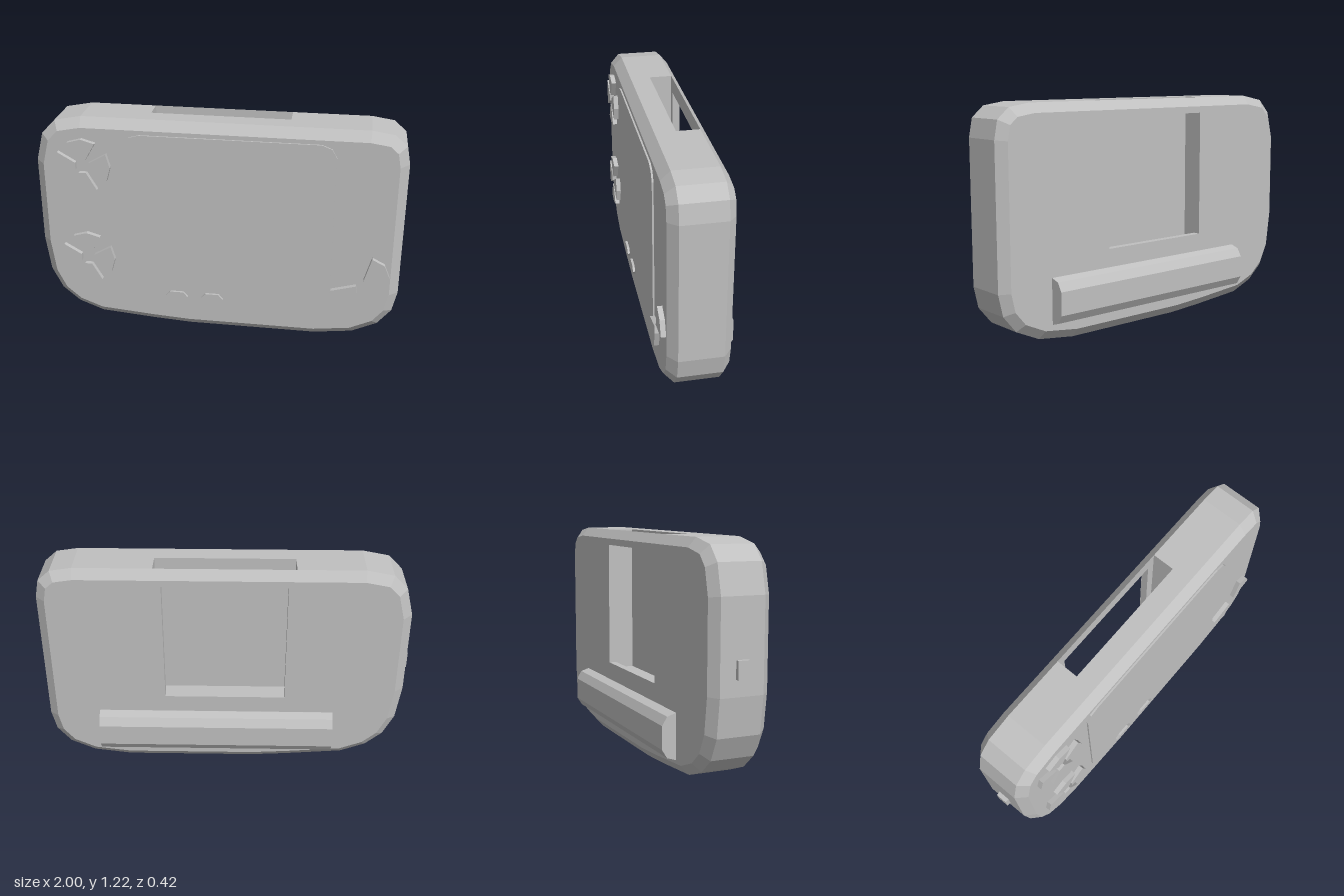
import * as THREE from 'three';

// Rim of the case, counter-clockwise from the front; the first edge is the flat top
const RIM = [
  [0.797, 1.215], [-0.722, 1.215], [-0.866, 1.187], [-0.94, 1.11], [-0.978, 0.957], [-0.978, 0.487],
  [-0.952, 0.29], [-0.893, 0.17], [-0.80, 0.09], [-0.663, 0.037], [-0.353, 0.012], [-0.15, 0],
  [0.556, 0], [0.765, 0.027], [0.90, 0.09], [0.973, 0.18], [0.998, 0.294], [0.998, 1.043],
  [0.979, 1.14], [0.914, 1.197],
];
const FRONT = 0.186, SIDE_FRONT = 0.138, SIDE_BACK = -0.092, BACK = -0.133;
// Slot cavity and the window that opens it to the back
const SLOT = { x0: -0.365, x1: 0.38, y0: 0.40, y1: 1.215, z: 0.03 };
const WINDOW = [[-0.323, 0.44], [0.337, 0.44], [0.337, 1.13], [-0.323, 1.13]];

const toShape = (pts) => new THREE.Shape(pts.map(([x, y]) => new THREE.Vector2(x, y)));
const toPath = (pts) => new THREE.Path(pts.map(([x, y]) => new THREE.Vector2(x, y)));
const mirrorX = (pts) => pts.map(([x, y]) => [-x, y]);

// Mitred inward offset of a counter-clockwise outline
function inset(pts, d) {
  const n = pts.length;
  const normal = (a, b) => {
    const l = Math.hypot(b[0] - a[0], b[1] - a[1]);
    return [-(b[1] - a[1]) / l, (b[0] - a[0]) / l];
  };
  return pts.map((p, i) => {
    const u = normal(pts[(i + n - 1) % n], p), v = normal(p, pts[(i + 1) % n]);
    const k = d / (1 + u[0] * v[0] + u[1] * v[1]);
    return [p[0] + (u[0] + v[0]) * k, p[1] + (u[1] + v[1]) * k];
  });
}

// Flat-shaded geometry from four-cornered faces
function quads(faces) {
  const pos = faces.flatMap(([a, b, c, d]) => [a, b, c, a, c, d].flat());
  const g = new THREE.BufferGeometry();
  g.setAttribute('position', new THREE.Float32BufferAttribute(pos, 3));
  g.computeVertexNormals();
  return g;
}

// Faces joining two outlines at different depths
function band(front, zf, back, zb, skip = -1) {
  return front.map((p, i) => {
    const j = (i + 1) % front.length;
    return [[...p, zf], [...back[i], zb], [...back[j], zb], [...front[j], zf]];
  }).filter((_, i) => i !== skip);
}

export function createModel() {
  const model = new THREE.Group();
  model.name = 'handheldConsole';
  const grey = new THREE.MeshStandardMaterial({ color: 0xc0c0c0, side: THREE.DoubleSide });
  grey.name = 'plain grey';

  const add = (name, geometry, parent = model) => {
    const mesh = new THREE.Mesh(geometry, grey);
    mesh.name = name;
    parent.add(mesh);
    return mesh;
  };
  // Thin raised plate with its back sunk in the front face
  const plate = (name, pts, top, parent) => {
    const g = new THREE.ExtrudeGeometry(toShape(pts), { depth: top - FRONT + 0.006, bevelEnabled: false });
    return add(name, g.translate(0, 0, FRONT - 0.006), parent);
  };

  // Case: side wall, bevels, front and back
  const inner = inset(RIM, 0.049);
  add('caseSides', quads([
    ...band(inner, FRONT, RIM, SIDE_FRONT),
    ...band(RIM, SIDE_FRONT, RIM, SIDE_BACK, 0),
    ...band(RIM, SIDE_BACK, inner, BACK),
  ]));
  add('caseFront', new THREE.ShapeGeometry(toShape(inner)).translate(0, 0, FRONT));
  const backShape = toShape(mirrorX(inner));
  backShape.holes.push(toPath(mirrorX(WINDOW)));
  add('caseBack', new THREE.ShapeGeometry(backShape).rotateY(Math.PI).translate(0, 0, BACK));

  // Flat top around the slot
  const { x0, x1, y0, y1, z } = SLOT;
  const topRect = (a, b, zf, zb) => [[b, y1, zf], [b, y1, zb], [a, y1, zb], [a, y1, zf]];
  const [right, left] = [RIM[0][0], RIM[1][0]];
  add('caseTop', quads([
    topRect(left, right, SIDE_FRONT, z),
    topRect(left, x0, z, SIDE_BACK),
    topRect(x1, right, z, SIDE_BACK),
  ]));

  // Slot cavity: far wall, two sides, floor and the strip behind the top edge
  const zb = SIDE_BACK;
  add('slotCavity', quads([
    [[x1, y0, z], [x0, y0, z], [x0, y1, z], [x1, y1, z]],
    [[x0, y0, z], [x0, y0, zb], [x0, y1, zb], [x0, y1, z]],
    [[x1, y0, zb], [x1, y0, z], [x1, y1, z], [x1, y1, zb]],
    [[x0, y0, z], [x1, y0, z], [x1, y0, zb], [x0, y0, zb]],
    [[x0, 1.165, zb], [x1, 1.165, zb], [x1, y1, zb], [x0, y1, zb]],
  ]));
  const lip = toShape([[x0, y0], [x1, y0], [x1, 1.165], [x0, 1.165]]);
  lip.holes.push(toPath(WINDOW));
  add('windowLip', new THREE.ExtrudeGeometry(lip, { depth: zb - BACK - 0.001, bevelEnabled: false })
    .translate(0, 0, BACK + 0.001));

  // Screen with clipped corners
  plate('screen', [
    [-0.41, 0.197], [0.555, 0.197], [0.603, 0.21], [0.63, 0.25], [0.63, 1.075], [0.603, 1.122],
    [0.55, 1.143], [-0.40, 1.143], [-0.455, 1.128], [-0.482, 1.075], [-0.482, 0.255], [-0.46, 0.213],
  ], 0.195);

  // Two direction pads, each with four petals
  const petal = [[-0.02, 0.036], [0.02, 0.036], [0.075, 0.131], [0, 0.152], [-0.075, 0.131]];
  for (const [name, y] of [['upperPad', 0.958], ['lowerPad', 0.412]]) {
    const pad = new THREE.Group();
    pad.name = name;
    pad.position.set(-0.71, y, 0);
    for (let i = 0; i < 4; i++) plate('padPetal', petal, 0.212, pad).rotation.z = i * Math.PI / 2;
    model.add(pad);
  }

  // Action buttons on the other side
  plate('upperActionButton', [[0.807, 0.386], [0.945, 0.41], [0.913, 0.487], [0.845, 0.522]], 0.212);
  plate('lowerActionButton', [[0.636, 0.315], [0.679, 0.251], [0.749, 0.214], [0.778, 0.31], [0.77, 0.353]], 0.212);

  // Small six-sided menu buttons
  for (const x of [-0.214, -0.016]) {
    plate('menuButton', [
      [-0.062, 0], [-0.037, -0.028], [0.037, -0.028], [0.062, 0], [0.037, 0.028], [-0.037, 0.028],
    ], 0.208).position.set(x, 0.204, 0);
  }

  // Side switch
  add('sideSwitch', new THREE.BoxGeometry(0.04, 0.092, 0.062)).position.set(-0.98, 0.616, 0.022);

  // Grip bar across the back
  const grip = toShape([
    [0.125, 0.10], [0.135, 0.10], [0.182, 0.115], [0.21, 0.16], [0.21, 0.282], [0.182, 0.327], [0.135, 0.342], [0.125, 0.342],
  ]);
  add('backGrip', new THREE.ExtrudeGeometry(grip, { depth: 1.303, bevelEnabled: false }).rotateY(Math.PI / 2))
    .position.x = -0.595;

  return model;
}
